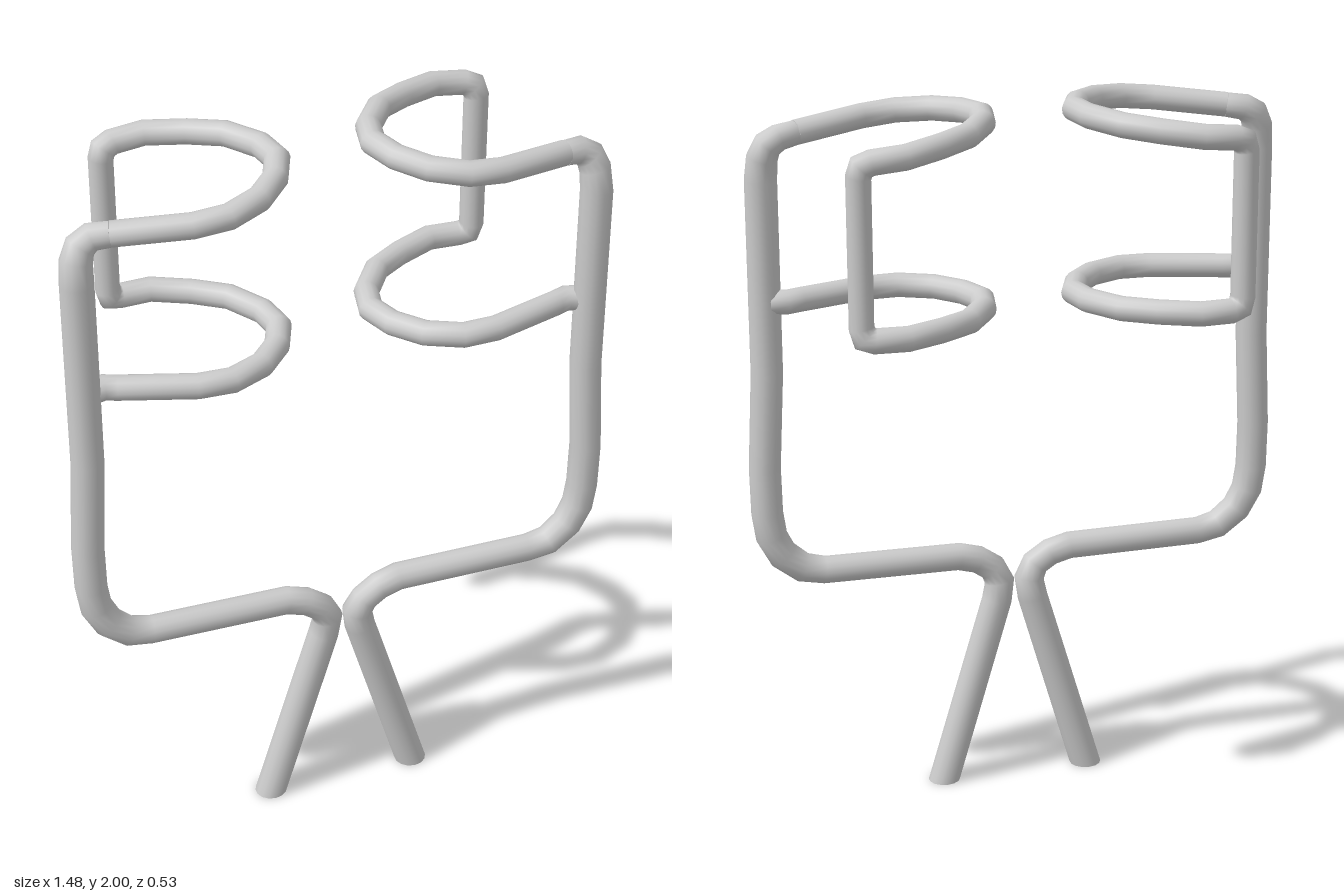
import * as THREE from 'three';

const SIDES = 14;
const V = (a) => new THREE.Vector3(a[0], a[1], a[2]);

// Sweeps a circle along a polyline [x, y, z, radius] with mitred corners and closed ends.
function bentTube(path, material, startNormal) {
  const pts = path.map(V);
  const last = pts.length - 1;
  const dirs = pts.slice(1).map((p, i) => p.clone().sub(pts[i]).normalize());
  const u = new THREE.Vector3(0, 0, 1);
  if (Math.abs(dirs[0].z) > 0.8) u.set(0, 1, 0);
  u.addScaledVector(dirs[0], -u.dot(dirs[0])).normalize();
  const v = dirs[0].clone().cross(u);
  let ring = [];
  for (let k = 0; k < SIDES; k++) {
    const a = (k / SIDES) * Math.PI * 2;
    ring.push(pts[0].clone()
      .addScaledVector(u, Math.cos(a) * path[0][3])
      .addScaledVector(v, Math.sin(a) * path[0][3]));
  }
  const pos = [], index = [];
  for (let i = 0; i <= last; i++) {
    const d = dirs[Math.max(0, i - 1)];
    const n = i === 0 ? (startNormal || d).clone()
      : i === last ? d.clone() : d.clone().add(dirs[i]).normalize();
    const scale = i ? path[i][3] / path[i - 1][3] : 1;
    // slide the ring along the segment onto the mitre plane
    ring = ring.map((p) => p.clone()
      .addScaledVector(d, pts[i].clone().sub(p).dot(n) / d.dot(n))
      .sub(pts[i]).multiplyScalar(scale).add(pts[i]));
    ring.forEach((p) => pos.push(p.x, p.y, p.z));
    if (i === 0) continue;
    for (let k = 0; k < SIDES; k++) {
      const a = (i - 1) * SIDES + k, b = (i - 1) * SIDES + (k + 1) % SIDES;
      index.push(a, b, a + SIDES, b, b + SIDES, a + SIDES);
    }
  }
  // flat end caps on their own vertices, so their edges stay sharp
  [0, last].forEach((i) => {
    const base = pos.length / 3;
    pos.push(...pos.slice(i * SIDES * 3, (i + 1) * SIDES * 3));
    for (let k = 1; k < SIDES - 1; k++) {
      if (i) index.push(base, base + k, base + k + 1);
      else index.push(base, base + k + 1, base + k);
    }
  });
  const geo = new THREE.BufferGeometry();
  geo.setAttribute('position', new THREE.Float32BufferAttribute(pos, 3));
  geo.setIndex(index);
  geo.computeVertexNormals();
  return new THREE.Mesh(geo, material);
}

// Leg, waist bend, horizontal bar, upright and the turn into the upper loop
const FRAME = [
  [0.21, 0, 0.184, 0.043], [0.052, 0.54, 0.184, 0.042], [0.043, 0.595, 0.188, 0.04],
  [0.062, 0.635, 0.192, 0.038], [0.105, 0.665, 0.19, 0.038], [0.16, 0.681, 0.187, 0.038],
  [0.54, 0.684, 0.188, 0.038], [0.60, 0.697, 0.19, 0.04], [0.655, 0.742, 0.188, 0.042],
  [0.685, 0.80, 0.185, 0.043], [0.695, 0.87, 0.184, 0.043], [0.697, 1.0, 0.184, 0.043],
  [0.683, 1.27, 0.18, 0.043], [0.682, 1.80, 0.178, 0.043], [0.678, 1.86, 0.168, 0.041],
  [0.664, 1.895, 0.16, 0.038], [0.635, 1.914, 0.157, 0.035], [0.59, 1.92, 0.17, 0.033],
];

// Plan of the open loop, [x, z], from the upright round to the back
const LOOP = [
  [0.59, 0.17], [0.40, 0.228], [0.31, 0.231], [0.22, 0.19], [0.157, 0.12],
  [0.126, 0.04], [0.142, -0.04], [0.205, -0.135], [0.29, -0.19], [0.39, -0.236],
  [0.475, -0.232],
];
const R = 0.033;

function buildSide(s, material) {
  const side = new THREE.Group();
  side.name = s > 0 ? 'leftSide' : 'rightSide';
  const add = (name, path, normal) => {
    const mesh = bentTube(path.map(([x, y, z, r]) => [x * s, y, z, r]), material, normal);
    mesh.name = name;
    side.add(mesh);
  };
  add('frame', FRAME, new THREE.Vector3(0, 1, 0));

  // Upper loop rises gently inward, drops down the rear rod and returns as the level lower loop
  const upper = LOOP.map(([x, z]) => [x, 1.967 - 0.1 * (x - 0.126), z, R]);
  const rod = [
    [0.5, 1.921, -0.226, R], [0.508, 1.895, -0.223, R],
    [0.508, 1.505, -0.223, R], [0.5, 1.478, -0.226, R],
  ];
  const lower = LOOP.map(([x, z]) => [x, 1.47, z, R]).reverse();
  add('holderLoops', [...upper, ...rod, ...lower, [0.625, 1.47, 0.157, R], [0.665, 1.47, 0.168, R]]);
  return side;
}

export function createModel() {
  const model = new THREE.Group();
  model.name = 'bentRodStand';
  const material = new THREE.MeshStandardMaterial({ color: 0xcccccc });
  [1, -1].forEach((s) => model.add(buildSide(s, material)));
  return model;
}
